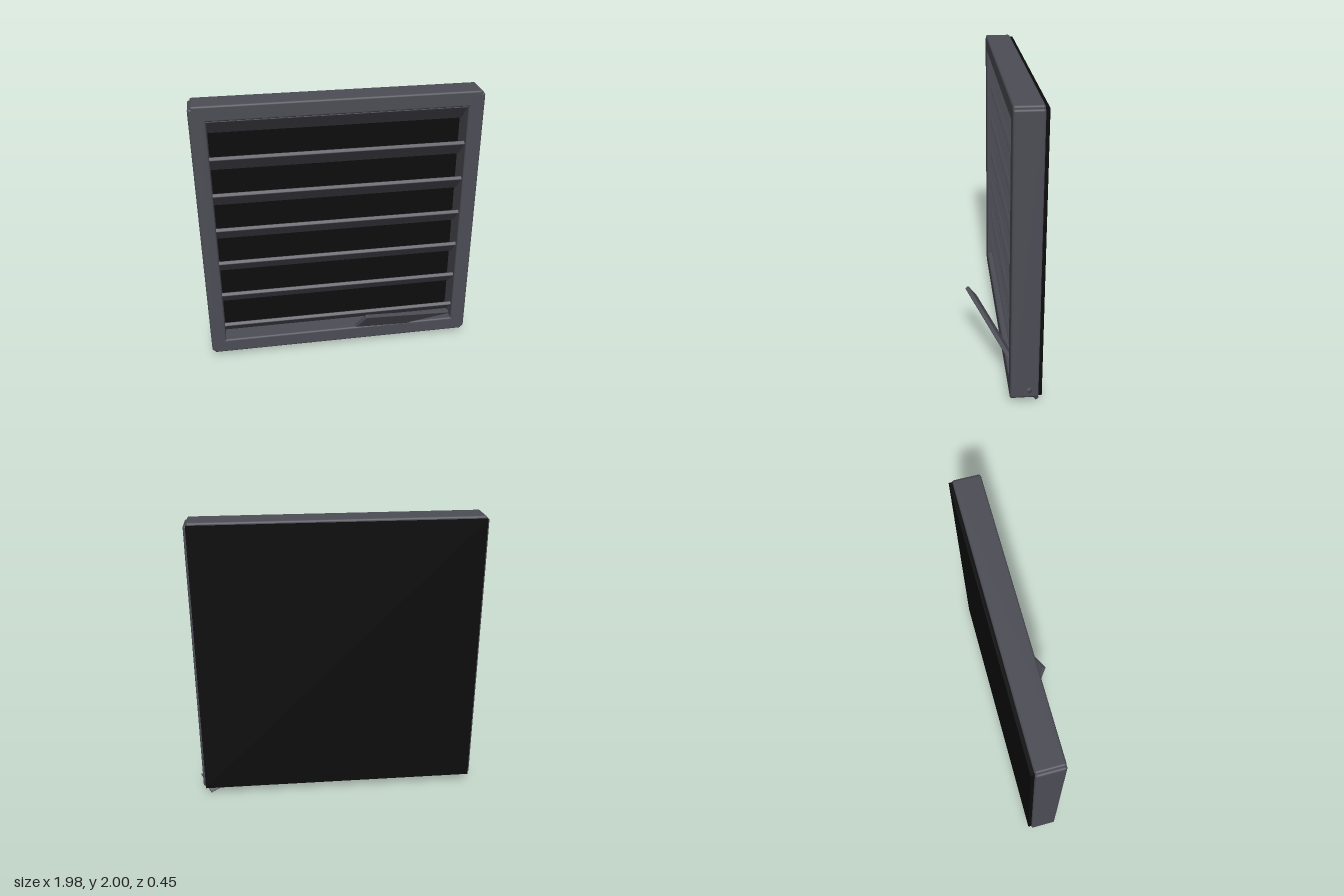
import * as THREE from 'three';
import { RoundedBoxGeometry } from 'three/addons/geometries/RoundedBoxGeometry.js';

export function createModel() {
  const group = new THREE.Group();
  const frameGrey = new THREE.MeshStandardMaterial({ name: 'frameGrey', color: 0x4c4c55 });
  const panelBlack = new THREE.MeshStandardMaterial({ name: 'panelBlack', color: 0x0c0c0c });

  // softly rounded bar
  function bar(name, w, h, d, x, y, z, radius) {
    const mesh = new THREE.Mesh(new RoundedBoxGeometry(w, h, d, 2, radius), frameGrey);
    mesh.name = name;
    mesh.position.set(x, y, z);
    group.add(mesh);
    return mesh;
  }

  // outer frame: stiles overlap the slightly shorter rails at the corners
  const cx = -0.01, cy = 1.02, cz = -0.11, depth = 0.185;
  for (const s of [-1, 1]) {
    bar(s > 0 ? 'leftStile' : 'rightStile', 0.11, 1.925, depth, cx + s * 0.925, cy, cz, 0.014);
    bar(s > 0 ? 'topRail' : 'bottomRail', 1.925, 0.11, depth, cx, cy + s * 0.925, cz, 0.014);
  }

  // back panel
  const panel = new THREE.Mesh(new THREE.BoxGeometry(1.925, 1.925, 0.025), panelBlack);
  panel.name = 'backPanel';
  panel.position.set(cx, cy, -0.2125);
  group.add(panel);

  // seven slats, front edge high and back edge low
  for (let i = 0; i < 7; i++) {
    const slat = bar('slat', 1.78, 0.175, 0.028, cx, 1.83 - i * 0.27, cz, 0.005);
    slat.rotation.x = Math.PI / 4;
  }

  // short loose slat poking out at the lower left corner
  const along = new THREE.Vector3(0.84, -0.29, -0.35).normalize();
  const across = new THREE.Vector3(0.065, 0.12, 0.065);
  across.addScaledVector(along, -across.dot(along)).normalize();
  const normal = new THREE.Vector3().crossVectors(along, across);
  const loose = bar('looseSlat', 0.96, 0.155, 0.028, 0.53, 0.21, 0.005, 0.005);
  loose.quaternion.setFromRotationMatrix(new THREE.Matrix4().makeBasis(along, across, normal));

  return group;
}
